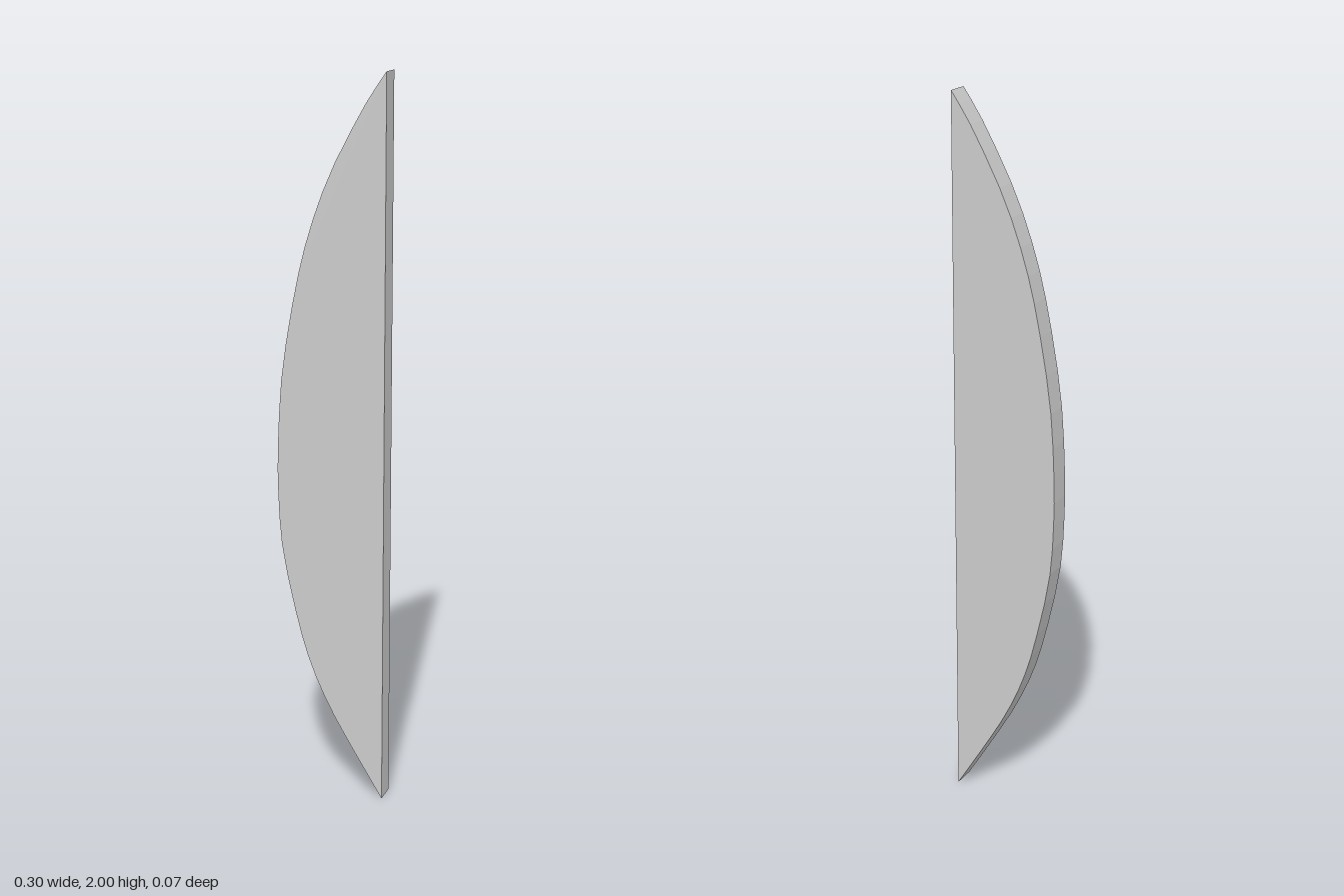
import * as THREE from 'three';

export function createModel() {
  const group = new THREE.Group();
  const depth = 0.066;

  // Bowed edge, from the top tip down to the bottom tip
  const bow = [
    [0.15, 2], [0.09, 1.91], [0, 1.74], [-0.06, 1.58], [-0.1, 1.42], [-0.137, 1.2], [-0.15, 1],
    [-0.15, 0.86], [-0.138, 0.7], [-0.095, 0.5], [-0.055, 0.37], [0, 0.25], [0.07, 0.13], [0.15, 0],
  ].map(([x, y]) => new THREE.Vector2(x, y));

  // Flat plate: bowed on one side, straight on the other
  const outline = new THREE.Shape();
  outline.moveTo(0.15, 2);
  outline.splineThru(bow.slice(1));
  outline.closePath();

  const geometry = new THREE.ExtrudeGeometry(outline, {
    depth, bevelEnabled: false, curveSegments: 2,
  });
  geometry.translate(0, 0, -depth / 2);

  const plate = new THREE.Mesh(geometry, new THREE.MeshStandardMaterial({ color: 0xcccccc }));
  plate.name = 'bowedPlate';
  group.add(plate);
  return group;
}
